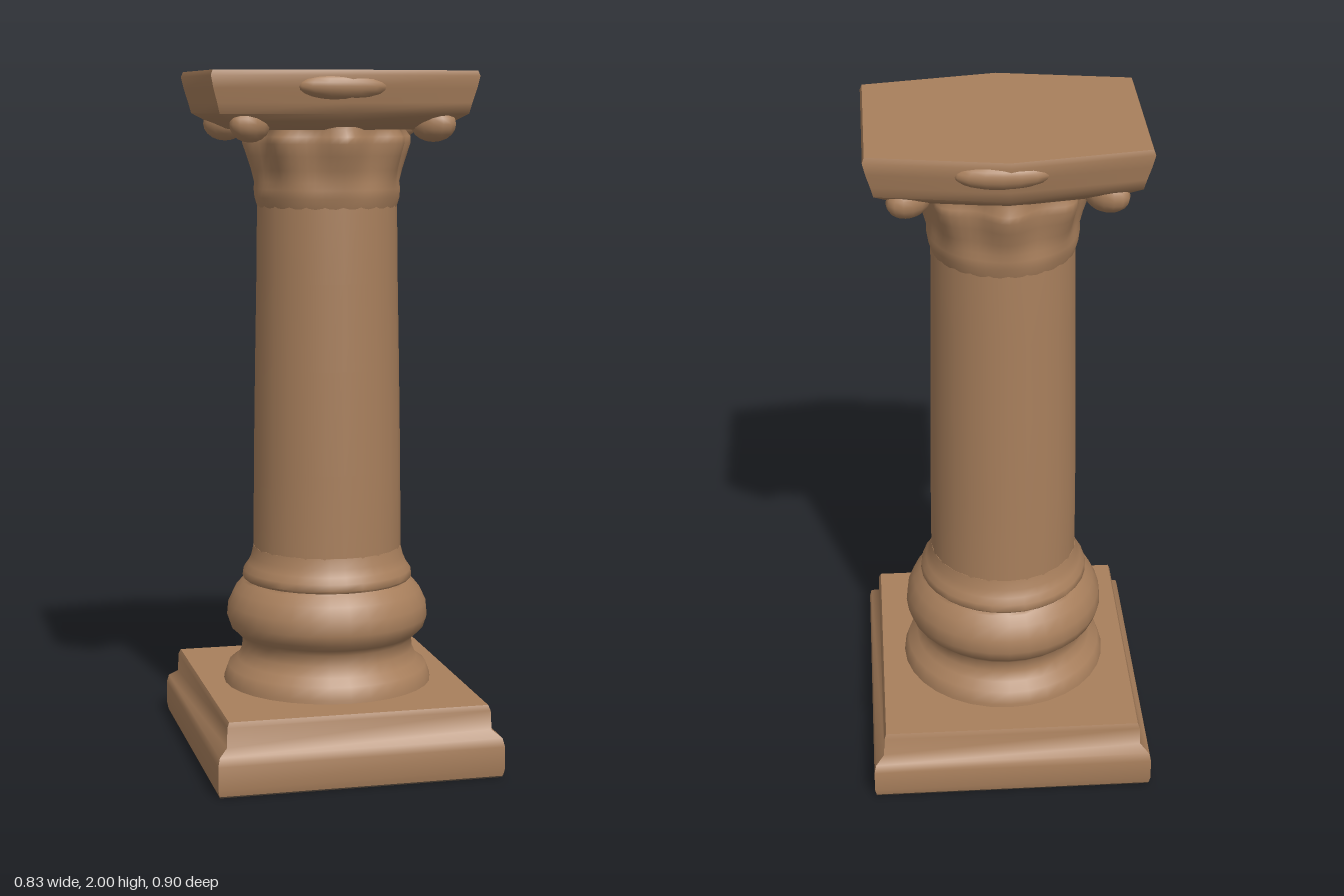
import * as THREE from 'three';
import { toCreasedNormals } from 'three/addons/utils/BufferGeometryUtils.js';

const stone = new THREE.MeshStandardMaterial({ color: 0xa87f5c });
stone.name = 'brown stone';
const shade = new THREE.MeshStandardMaterial({ color: 0x42362a });
shade.name = 'dark underside';

// Closed solid from stacked rings; each ring is a list of [x, y, z] running from +x towards +z.
function loft(rings, crease = 0.7) {
  const n = rings[0].length, pos = rings.flat(2), index = [];
  for (let r = 0; r < rings.length - 1; r++) {
    for (let i = 0; i < n; i++) {
      const a = r * n + i, b = r * n + (i + 1) % n;
      index.push(a, a + n, b, b, a + n, b + n);
    }
  }
  const last = (rings.length - 1) * n, bottom = rings.length * n;
  pos.push(0, rings[0][0][1], 0, 0, rings[rings.length - 1][0][1], 0);
  for (let i = 0; i < n; i++) {
    const j = (i + 1) % n;
    index.push(bottom, i, j, bottom + 1, last + j, last + i);
  }
  const g = new THREE.BufferGeometry();
  g.setAttribute('position', new THREE.Float32BufferAttribute(pos, 3));
  g.setIndex(index);
  return toCreasedNormals(g, crease);
}

// Ring whose radius may vary with the angle.
function roundRing(y, radius, n) {
  return Array.from({ length: n }, (_, i) => {
    const t = (i / n) * Math.PI * 2;
    const r = typeof radius === 'function' ? radius(t) : radius;
    return [Math.cos(t) * r, y, Math.sin(t) * r];
  });
}

const turned = (profile, n = 32) => loft(profile.map(([r, y]) => roundRing(y, r, n)), 0.9);

export function createModel() {
  const model = new THREE.Group();
  model.name = 'column';
  const add = (name, geometry, x = 0, y = 0, z = 0, material = stone) => {
    const mesh = new THREE.Mesh(geometry, material);
    mesh.name = name;
    mesh.position.set(x, y, z);
    model.add(mesh);
    return mesh;
  };

  // Two-step rectangular plinth with softened edges
  const rect = (y, x, z) => [[x, y, z], [-x, y, z], [-x, y, -z], [x, y, -z]];
  add('plinth', loft([
    rect(0.004, 0.412, 0.447), rect(0.025, 0.416, 0.452), rect(0.09, 0.416, 0.452),
    rect(0.115, 0.41, 0.445), rect(0.135, 0.385, 0.42), rect(0.19, 0.383, 0.416),
    rect(0.205, 0.377, 0.41),
  ], 0.9));

  // Dark face the plinth rests on
  add('underside', new THREE.BoxGeometry(0.822, 0.006, 0.892), 0, 0.003, 0, shade);

  // Flared foot, hollow neck, torus and collar
  add('base', turned([
    [0.31, 0.19], [0.308, 0.215], [0.296, 0.25], [0.268, 0.27], [0.255, 0.3],
    [0.252, 0.332], [0.268, 0.35], [0.288, 0.368], [0.299, 0.4], [0.295, 0.44],
    [0.276, 0.48], [0.253, 0.506], [0.246, 0.513], [0.252, 0.52], [0.249, 0.54],
    [0.236, 0.558], [0.226, 0.58], [0.219, 0.61],
  ]));

  // Gently tapering shaft
  add('shaft', turned([
    [0.219, 0.6], [0.217, 0.85], [0.212, 1.15], [0.207, 1.4], [0.204, 1.62], [0.202, 1.67],
  ], 24));

  // Capital bell with a ring of leaves that swell and curl outwards
  const leaf = (r, depth) => (t) => r + depth * Math.cos(8 * t);
  add('capital', loft([
    [0.202, 0, 1.61], [0.211, 0, 1.64], [0.213, 0.002, 1.665], [0.21, 0.004, 1.685],
    [0.216, 0.008, 1.72], [0.226, 0.012, 1.76], [0.235, 0.015, 1.795],
    [0.234, 0.016, 1.815], [0.222, 0.01, 1.835], [0.235, 0.005, 1.88],
  ].map(([r, d, y]) => roundRing(y, leaf(r, d), 64)), 1.2));

  // Scroll knobs tucked below the corners
  for (const sx of [-1, 1]) {
    for (const sz of [-1, 1]) {
      const knob = add('cornerScroll', new THREE.SphereGeometry(1, 14, 10), sx * 0.265, 1.85, sz * 0.19);
      knob.scale.set(0.068, 0.05, 0.046);
      knob.rotation.y = -sx * sz * 0.6;
    }
  }

  // Six-cornered slab, pointed at the middle of front and back
  const hexRing = (y, s) => [
    [0.385, 0.25], [0, 0.312], [-0.385, 0.25], [-0.385, -0.25], [0, -0.312], [0.385, -0.25],
  ].map(([x, z]) => [x * s, y, z * s]);
  add('abacus', loft([
    hexRing(1.835, 0.7), hexRing(1.86, 0.84), hexRing(1.88, 0.93), hexRing(1.91, 0.95),
    hexRing(1.95, 0.98), hexRing(1.985, 1), hexRing(2, 0.985),
  ], 0.8));

  // Shallow swellings on the middle of front and back
  for (const s of [-1, 1]) {
    add('boss', new THREE.SphereGeometry(1, 16, 12), -s * 0.02, 1.955, s * 0.276).scale.set(0.13, 0.04, 0.04);
  }
  return model;
}
